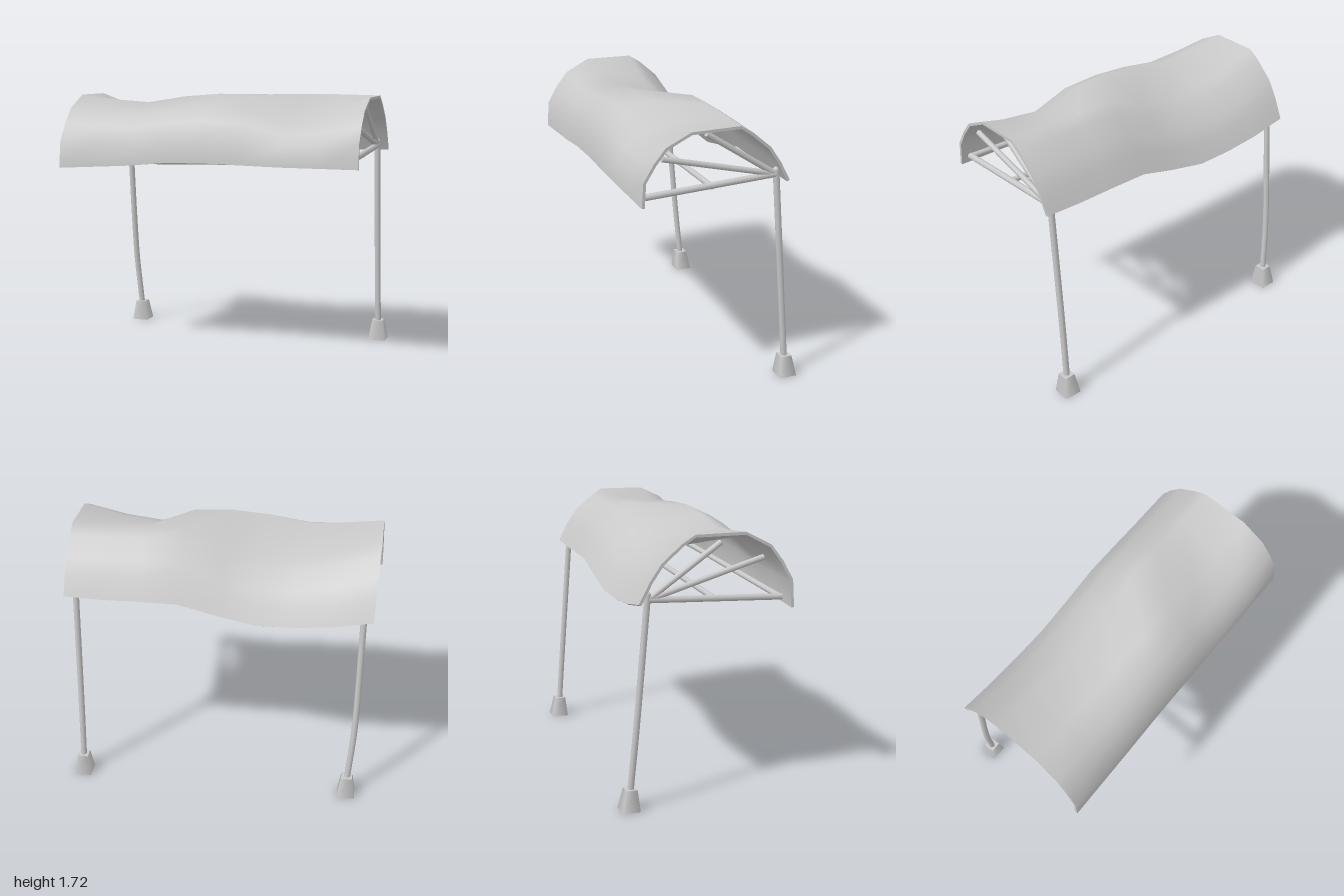
import * as THREE from 'three';

const metal = new THREE.MeshStandardMaterial({ color: 0xc8c8c8, side: THREE.DoubleSide });
metal.name = 'plainGrey';

// Arched sheet lofted from nine cross-sections along x
function sheetGeometry() {
  // Heights at each station: front hem, front ridge, back ridge, back hem
  const stations = [
    [1.23, 1.70, 1.70, 1.31],
    [1.245, 1.67, 1.61, 1.26],
    [1.26, 1.655, 1.555, 1.235],
    [1.285, 1.695, 1.545, 1.23],
    [1.29, 1.715, 1.59, 1.28],
    [1.285, 1.70, 1.705, 1.34],
    [1.28, 1.595, 1.71, 1.34],
    [1.28, 1.63, 1.71, 1.335],
    [1.28, 1.70, 1.705, 1.34],
  ];
  // Arch points: depth z, and how far each rises from hem to ridge
  const front = [[0.525, 0], [0.515, 0.36], [0.45, 0.61], [0.375, 0.82], [0.215, 1]];
  const back = [[-0.1, 1], [-0.18, 0.87], [-0.3, 0.6], [-0.37, 0.33], [-0.435, 0]];
  const rows = front.length + back.length;
  const positions = [], index = [], rim = [];
  stations.forEach(([hemF, ridgeF, ridgeB, hemB], i) => {
    const s = i / (stations.length - 1);
    const add = (hem, ridge, first) => ([z, rise], j) => {
      const v = (first + j) / (rows - 1);
      const left = -1 + 0.045 * v;
      positions.push(left + (0.995 - left) * s, hem + (ridge - hem) * rise, z * (1 - 0.03 * s));
    };
    front.forEach(add(hemF, ridgeF, 0));
    back.forEach(add(hemB, ridgeB, front.length));
  });
  for (let i = 0; i < stations.length - 1; i++) {
    for (let j = 0; j < rows - 1; j++) {
      const a = i * rows + j, b = a + rows;
      index.push(a, b, b + 1, a, b + 1, a + 1);
    }
  }
  // Closed loop of edge points: front hem, right end, back hem, left end
  const last = stations.length - 1;
  for (let i = 0; i < last; i++) rim.push(i * rows);
  for (let j = 0; j < rows - 1; j++) rim.push(last * rows + j);
  for (let i = last; i > 0; i--) rim.push(i * rows + rows - 1);
  for (let j = rows - 1; j > 0; j--) rim.push(j);

  const geometry = new THREE.BufferGeometry();
  geometry.setAttribute('position', new THREE.Float32BufferAttribute(positions, 3));
  geometry.setIndex(index);
  geometry.computeVertexNormals();
  return { geometry, rim };
}

// Second skin just inside the sheet, facing inward
function liningGeometry(sheet, thickness) {
  const lining = sheet.clone();
  const p = lining.attributes.position, n = sheet.attributes.normal;
  for (let i = 0; i < p.count; i++) {
    p.setXYZ(i, p.getX(i), p.getY(i) - n.getY(i) * thickness, p.getZ(i) - n.getZ(i) * thickness);
  }
  lining.setIndex([...sheet.index.array].reverse());
  lining.computeVertexNormals();
  return lining;
}

// Narrow band closing the edge between both skins
function rimGeometry(sheet, lining, rim) {
  const positions = [];
  const point = (geometry, i) => new THREE.Vector3().fromBufferAttribute(geometry.attributes.position, i).toArray();
  rim.forEach((a, k) => {
    const b = rim[(k + 1) % rim.length];
    const [oa, ob, ia, ib] = [point(sheet, a), point(sheet, b), point(lining, a), point(lining, b)];
    positions.push(...oa, ...ia, ...ib, ...oa, ...ib, ...ob);
  });
  const geometry = new THREE.BufferGeometry();
  geometry.setAttribute('position', new THREE.Float32BufferAttribute(positions, 3));
  geometry.computeVertexNormals();
  return geometry;
}

export function createModel() {
  const model = new THREE.Group();
  model.name = 'canopyShelter';

  const addMesh = (name, geometry) => {
    const mesh = new THREE.Mesh(geometry, metal);
    mesh.name = name;
    model.add(mesh);
    return mesh;
  };

  // Straight round bar between two points
  const addBar = (name, from, to, radius = 0.018) => {
    const a = new THREE.Vector3(...from), b = new THREE.Vector3(...to);
    const dir = b.clone().sub(a);
    const bar = addMesh(name, new THREE.CylinderGeometry(radius, radius, dir.length(), 12));
    bar.position.copy(a).add(b).multiplyScalar(0.5);
    bar.quaternion.setFromUnitVectors(new THREE.Vector3(0, 1, 0), dir.normalize());
  };

  // Thin double-skinned canopy
  const { geometry: sheet, rim } = sheetGeometry();
  const lining = liningGeometry(sheet, 0.018);
  addMesh('canopy', sheet);
  addMesh('canopyLining', lining);
  addMesh('canopyRim', rimGeometry(sheet, lining, rim));

  // Each side: leg path, foot and three fanned struts
  const sides = [
    { name: 'left', foot: 0.94, x: 0.93, drop: 0, path: [[0.94, 0.1, -0.466], [0.935, 0.5, -0.435], [0.93, 1.39, -0.362]] },
    { name: 'right', foot: -0.86, x: -0.895, drop: 0.045, path: [[-0.86, 0.1, -0.466], [-0.873, 0.27, -0.453], [-0.888, 0.5, -0.435], [-0.895, 1.35, -0.362]] },
  ];
  for (const { name, foot, x, drop, path } of sides) {
    const curve = new THREE.CatmullRomCurve3(path.map(p => new THREE.Vector3(...p)));
    addMesh(name + 'Leg', new THREE.TubeGeometry(curve, 16, 0.02, 12));
    const tip = path[path.length - 1];
    addMesh(name + 'LegCap', new THREE.SphereGeometry(0.02, 12, 8)).position.set(...tip);

    // Hollow tapered square foot, top shifted forward
    const boot = new THREE.CylinderGeometry(0.036 * Math.SQRT2, 0.057 * Math.SQRT2, 0.138, 4, 1, true, Math.PI / 4);
    const p = boot.attributes.position;
    for (let i = 0; i < p.count; i++) if (p.getY(i) > 0) p.setZ(i, p.getZ(i) + 0.008);
    addMesh(name + 'Foot', boot).position.set(foot, 0.069, -0.473);
    const lid = addMesh(name + 'FootTop', new THREE.PlaneGeometry(0.072, 0.072));
    lid.rotation.x = -Math.PI / 2;
    lid.position.set(foot, 0.138, -0.465);

    // Struts fan out from the leg top
    const hub = [x, 1.365 - drop, -0.36];
    addBar(name + 'LowerStrut', hub, [x, 1.32 - drop, 0.49], 0.02);
    addBar(name + 'MiddleStrut', hub, [x, 1.54 - drop * 0.3, 0.365]);
    addBar(name + 'UpperStrut', hub, [x, 1.66 - drop * 0.6, 0.09]);
  }

  // Long bars joining both sides
  addBar('frontRail', [0.93, 1.32, 0.48], [-0.895, 1.275, 0.48]);
  addBar('middleRail', [0.93, 1.335, 0.05], [-0.895, 1.3, 0.05]);

  return model;
}
